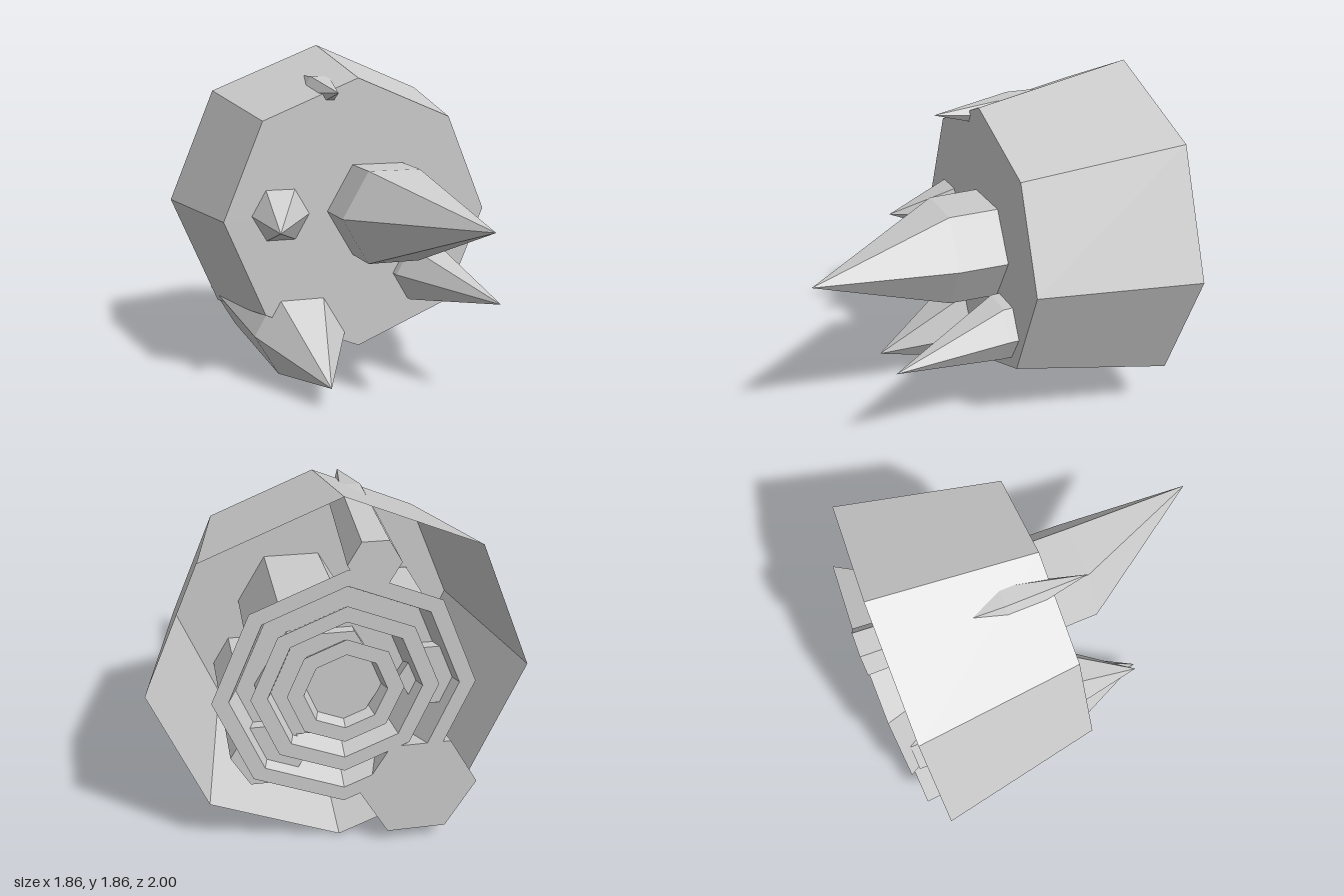
import * as THREE from 'three';

const material = new THREE.MeshStandardMaterial({ color: 0xcccccc, flatShading: true, side: THREE.DoubleSide });

function add(group, name, geometry) {
  const mesh = new THREE.Mesh(geometry, material);
  mesh.name = name;
  group.add(mesh);
  return mesh;
}

// Hexagonal crystal: prism between two hexagons, closed by an off-centre tip.
// back and front are [x, y, z, radius]; tip is [x, y, z].
function crystalGeometry(back, front, tip) {
  const corner = ([x, y, z, r], i) => {
    const a = i * Math.PI / 3;
    return [x + r * Math.cos(a), y + r * Math.sin(a), z];
  };
  const points = [];
  for (let i = 0; i < 6; i++) {
    const b0 = corner(back, i), b1 = corner(back, i + 1);
    const f0 = corner(front, i), f1 = corner(front, i + 1);
    points.push(...b0, ...b1, ...f1, ...b0, ...f1, ...f0);
    points.push(...f0, ...f1, ...tip);
    points.push(...b1, ...b0, ...back.slice(0, 3));
  }
  const geometry = new THREE.BufferGeometry();
  geometry.setAttribute('position', new THREE.Float32BufferAttribute(points, 3));
  geometry.computeVertexNormals();
  return geometry;
}

// Eight-sided turned part from [radius, z] pairs, with its axis along z.
function octagonGeometry(profile) {
  const points = profile.map(([r, z]) => new THREE.Vector2(r, -z));
  return new THREE.LatheGeometry(points, 8).rotateX(-Math.PI / 2);
}

export function createModel() {
  const model = new THREE.Group();
  model.name = 'crystalRock';
  const cy = 0.93;

  // Rock shell, closed at the front and open at the back
  add(model, 'rockShell', octagonGeometry([[0, -0.03], [0.76, -0.03], [0.93, -0.89]])).position.y = cy;

  // Back plate with concentric raised bands
  const bands = new THREE.Group();
  bands.name = 'backBands';
  bands.position.y = cy;
  model.add(bands);
  add(bands, 'backPlate', octagonGeometry([[0, -0.9], [0.55, -0.9]]));
  for (const r of [0.63, 0.45, 0.28]) {
    add(bands, 'raisedBand', octagonGeometry([
      [r - 0.07, -0.88], [r, -1], [r - 0.08, -1], [r - 0.13, -0.88],
    ]));
  }

  // Crystals running through the shell
  const crystals = [
    ['centreCrystal', [0.11, 0.955, -0.95, 0.31], [0.115, 0.96, 0.24, 0.29], [0.35, 1.0, 1.0]],
    ['leftCrystal', [0.36, 0.58, -0.95, 0.19], [0.385, 0.58, 0.02, 0.175], [0.56, 0.54, 0.65]],
    ['rightCrystal', [-0.44, 0.95, -0.95, 0.18], [-0.44, 0.955, -0.05, 0.17], [-0.53, 0.92, 0.32]],
    ['lowerCrystal', [-0.38, 0.335, -1, 0.3], [-0.33, 0.265, -0.07, 0.265], [-0.31, 0.12, 0.48]],
    ['upperCrystal', [-0.12, 1.58, -1, 0.125], [-0.15, 1.6, -0.28, 0.105], [-0.17, 1.62, 0.16]],
  ];
  for (const [name, back, front, tip] of crystals) add(model, name, crystalGeometry(back, front, tip));

  return model;
}
